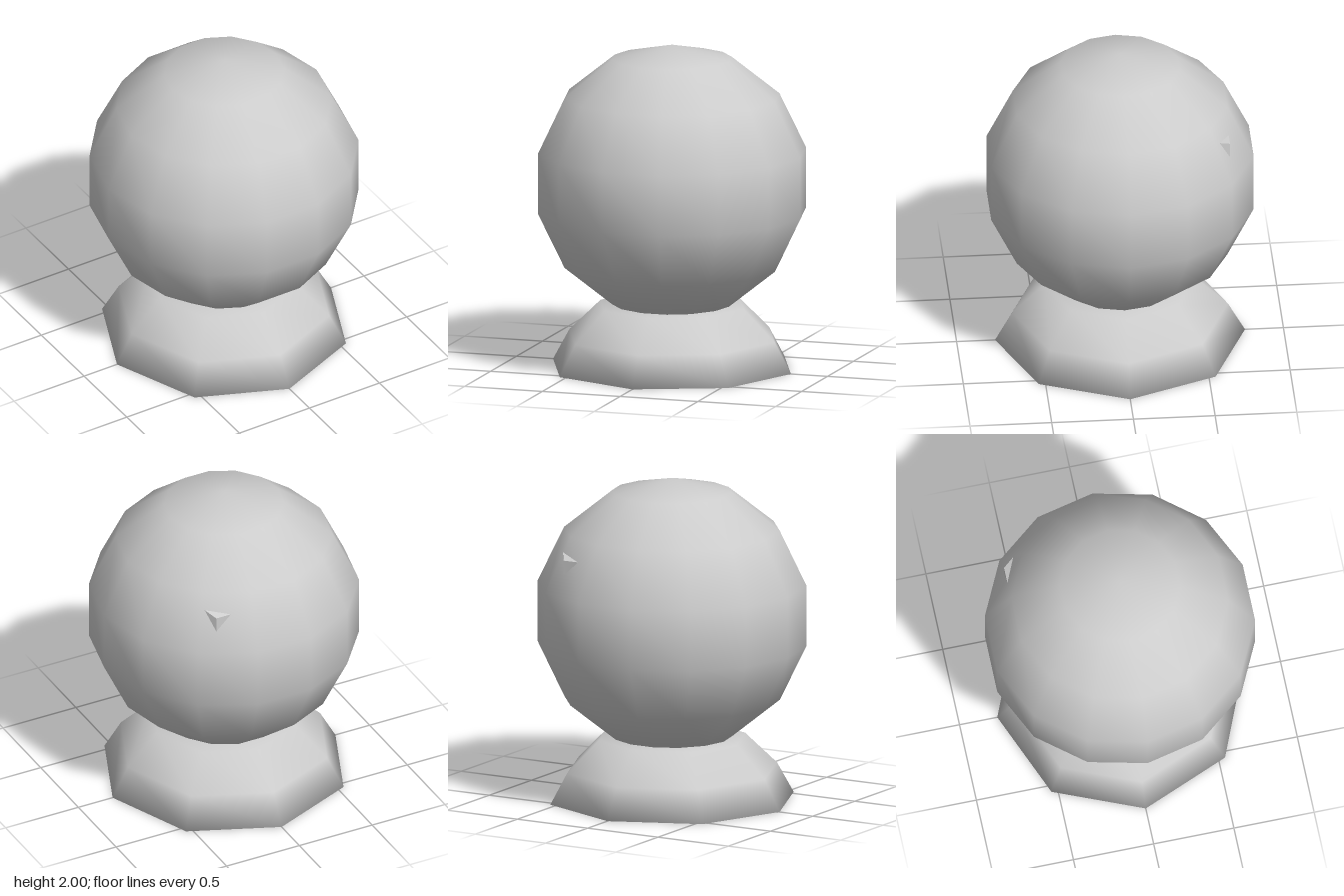
import * as THREE from 'three';

const grey = new THREE.MeshStandardMaterial({ color: 0xcccccc });
grey.name = 'light grey';
grey.side = THREE.DoubleSide;

// Closed eight-sided stand, shaded smoothly over every edge
function standGeometry() {
  const sides = 8;
  // radius, height, outward part of normal, upward part of normal
  const rings = [
    [0.765, 0, 0.91, -0.42],
    [0.66, 0.19, 0.79, 0.61],
    [0.46, 0.385, 0.38, 0.925],
  ];
  const pos = [], nor = [], idx = [];
  for (const [r, y, out, up] of rings) {
    for (let i = 0; i < sides; i++) {
      const a = (i / sides) * Math.PI * 2;
      pos.push(r * Math.cos(a), y, r * Math.sin(a));
      nor.push(out * Math.cos(a), up, out * Math.sin(a));
    }
  }
  // sloping walls
  for (let j = 0; j < rings.length - 1; j++) {
    for (let i = 0; i < sides; i++) {
      const k = (i + 1) % sides;
      const a = j * sides + i, d = j * sides + k;
      idx.push(a, a + sides, d + sides, a, d + sides, d);
    }
  }
  // bottom and top faces
  const t = (rings.length - 1) * sides;
  for (let i = 1; i < sides - 1; i++) {
    idx.push(0, i, i + 1, t, t + i + 1, t + i);
  }
  const g = new THREE.BufferGeometry();
  g.setAttribute('position', new THREE.Float32BufferAttribute(pos, 3));
  g.setAttribute('normal', new THREE.Float32BufferAttribute(nor, 3));
  g.setIndex(idx);
  return g;
}

// Corner of a small block that breaks through the back of the ball
function cornerGeometry() {
  const tip = [0.385, 1.56, -0.642];
  const down = [0.385, 1.465, -0.642];
  const side = [0.285, 1.56, -0.642];
  const front = [0.43, 1.595, -0.575];
  const g = new THREE.BufferGeometry();
  g.setAttribute('position', new THREE.Float32BufferAttribute(
    [tip, down, side, tip, side, front, tip, front, down].flat(), 3));
  g.computeVertexNormals();
  return g;
}

export function createModel() {
  const model = new THREE.Group();
  model.name = 'ballOnStand';
  const add = (name, geometry) => {
    const mesh = new THREE.Mesh(geometry, grey);
    mesh.name = name;
    model.add(mesh);
    return mesh;
  };

  add('stand', standGeometry());
  add('ball', new THREE.SphereGeometry(0.845, 14, 7)).position.y = 1.155;
  add('blockCorner', cornerGeometry());
  return model;
}
